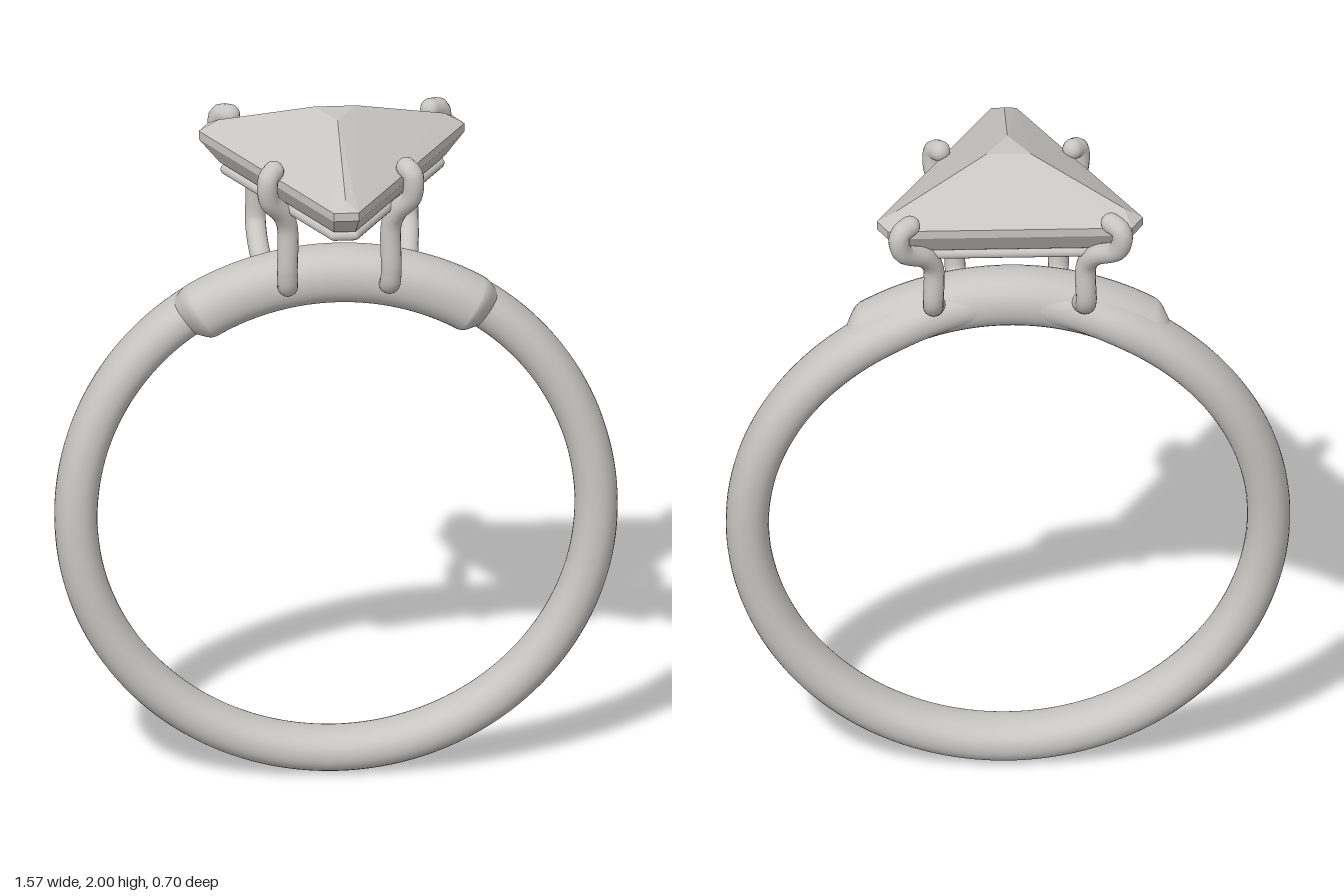
import * as THREE from 'three';
import { ParametricGeometry } from 'three/addons/geometries/ParametricGeometry.js';
import { ConvexGeometry } from 'three/addons/geometries/ConvexGeometry.js';

const { smoothstep } = THREE.MathUtils;
const CENTRE_Y = 0.785, RADIUS = 0.725, MID_Z = -0.055;
const V = (x, y, z) => new THREE.Vector3(x, y, z);

// Sweeps an oval section round the finger between two angles (degrees from the top).
// section(angle) gives [radial half size, z half size, z centre].
function sweep(from, to, section, slices) {
  return new ParametricGeometry((u, v, target) => {
    const deg = from + (to - from) * u, a = THREE.MathUtils.degToRad(deg);
    const [radial, width, zc] = section(Math.abs(deg));
    const b = v * Math.PI * 2, c = Math.cos(b), s = Math.sin(b);
    const soft = (t) => Math.sign(t) * Math.abs(t) ** 0.9;
    const r = RADIUS + radial * soft(c);
    target.set(r * Math.sin(a), CENTRE_Y + r * Math.cos(a), zc - width * soft(s));
  }, slices, 32);
}

// Round wire along a curve, with rounded ends
function wire(name, curve, radius, segments, material) {
  const group = new THREE.Group();
  group.name = name;
  group.add(new THREE.Mesh(new THREE.TubeGeometry(curve, segments, radius, 16), material));
  for (const t of [0, 1]) {
    const end = new THREE.Mesh(new THREE.SphereGeometry(radius, 16, 12), material);
    end.position.copy(curve.getPoint(t));
    group.add(end);
  }
  return group;
}

// Triangle with clipped corners, scaled about the middle of the setting
function outline(scale, y) {
  const half = [[0.035, 0.345], [0.37, -0.235], [0.34, -0.29]];
  const loop = [...half, ...half.map(([x, z]) => [-x, z]).reverse()];
  return loop.map(([x, z]) => V(x * scale, y, MID_Z + (z - MID_Z) * scale));
}

export function createModel() {
  const model = new THREE.Group();
  model.name = 'ring';
  const silver = new THREE.MeshStandardMaterial({ color: 0xc8c6c2 });
  silver.name = 'silver';
  const add = (name, geometry) => {
    const mesh = new THREE.Mesh(geometry, silver);
    mesh.name = name;
    model.add(mesh);
  };

  // Band, drifting backwards at the shoulders
  add('band', sweep(-180, 180, (d) => {
    const drift = d < 35 ? smoothstep(d, 0, 30) : 1 - smoothstep(d, 35, 110);
    return [0.06, 0.08, MID_Z - 0.042 * drift];
  }, 160));

  // Thicker bridge under the setting, tapering into the band
  add('bridge', sweep(-38, 38, (d) => {
    const t = smoothstep(d, 31, 38);
    return [0.08 - 0.036 * t, 0.086 - 0.04 * t, MID_Z - 0.04 * t];
  }, 76));

  // Faceted triangular stone: table, crown corners, girdle, pavilion and culet
  add('stone', new ConvexGeometry([
    V(0, 2, 0), V(0.06, 2, -0.095), V(-0.06, 2, -0.095),
    V(0, 1.896, 0.31), V(0.315, 1.905, -0.235), V(-0.315, 1.905, -0.235),
    ...outline(1, 1.872), ...outline(1, 1.847),
    ...outline(0.85, 1.788), ...outline(0.63, 1.778),
    V(0, 1.642, MID_Z),
  ]));

  // Thin rail below the stone
  const rail = outline(0.8, 1.77);
  rail.forEach((p, i) => {
    const next = rail[(i + 1) % rail.length];
    model.add(wire('rail', new THREE.LineCurve3(p, next), 0.016, 1, silver));
  });

  // Mirrored claws, hooked over the edge of the stone
  for (const side of [1, -1]) {
    const claw = (name, points) => model.add(wire(name, new THREE.CatmullRomCurve3(
      points.map(([x, y, z]) => V(side * x, y, z))), 0.029, 48, silver));
    claw('frontClaw', [
      [0.14, 1.5, 0], [0.143, 1.525, 0.055], [0.145, 1.57, 0.068], [0.145, 1.71, 0.068],
      [0.16, 1.755, 0.082], [0.198, 1.81, 0.112], [0.204, 1.86, 0.12], [0.2, 1.883, 0.116], [0.185, 1.893, 0.095],
    ]);
    claw('backClaw', [
      [0.2, 1.51, -0.09], [0.21, 1.555, -0.18], [0.213, 1.6, -0.232], [0.213, 1.72, -0.238],
      [0.235, 1.765, -0.26], [0.298, 1.815, -0.312], [0.311, 1.86, -0.323], [0.306, 1.883, -0.319], [0.28, 1.893, -0.295],
    ]);
  }
  return model;
}
